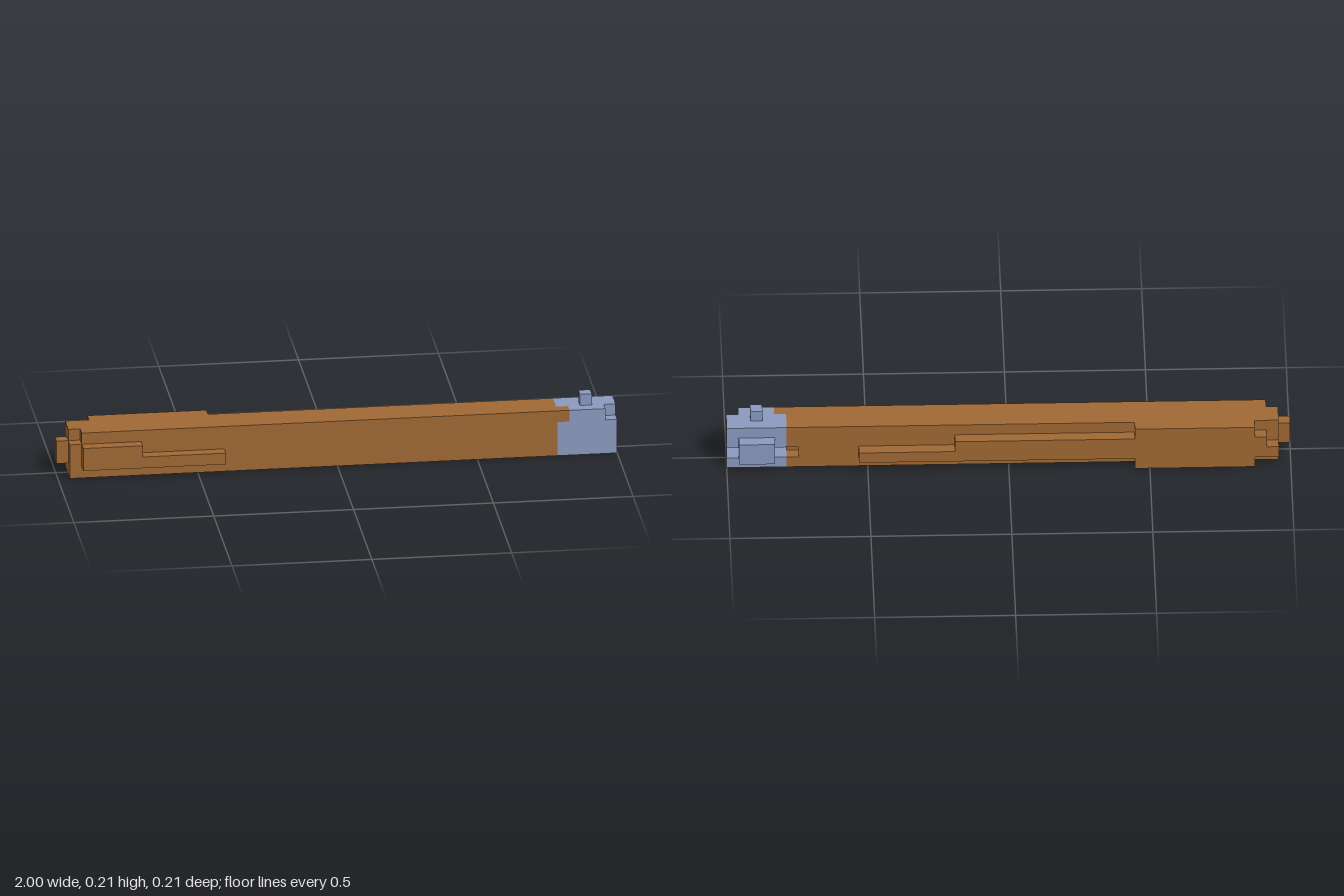
import * as THREE from 'three';

// Grid cell: the model is 47 cells long, 5 high and 5 deep
const U = 2 / 47;

export function createModel() {
  const model = new THREE.Group();
  model.name = 'blockyBar';
  const brown = new THREE.MeshStandardMaterial({ color: 0xa06834 });
  brown.name = 'woodBrown';
  const blue = new THREE.MeshStandardMaterial({ color: 0x8a9abf });
  blue.name = 'metalBlue';

  // Block filling the cells from (i0, j0, k0) up to (i1, j1, k1)
  function block(parent, name, mat, i0, i1, j0, j1, k0, k1) {
    const geo = new THREE.BoxGeometry((i1 - i0) * U, (j1 - j0) * U, (k1 - k0) * U);
    const mesh = new THREE.Mesh(geo, mat);
    mesh.name = name;
    mesh.position.set(-1 + (i0 + i1) / 2 * U, (j0 + j1) / 2 * U, ((k0 + k1) / 2 - 2.5) * U);
    parent.add(mesh);
  }

  function part(name, mat, blocks) {
    const group = new THREE.Group();
    group.name = name;
    for (const [label, ...cells] of blocks) block(group, label, mat, ...cells);
    model.add(group);
  }

  // Long shaft, with a small side hole where it meets the head
  part('shaft', brown, [
    ['shaftBody', 2, 41, 0, 4, 1, 4],
    ['holeFloor', 41, 42, 0, 1, 1, 4],
    ['holeInnerWall', 41, 42, 1, 4, 2, 4],
    ['holeRoof', 41, 42, 2, 4, 1, 2],
    ['shaftCorner', 42, 43, 3, 4, 3, 4],
  ]);

  // Notched butt end with a stub
  part('butt', brown, [
    ['buttBase', 1, 2, 0, 3, 1, 4],
    ['buttTop', 1, 2, 3, 4, 1, 3],
    ['buttStub', 0, 1, 1, 3, 2, 3],
  ]);

  // Stepped ridge along the back
  part('backRidge', brown, [
    ['ridgeBlock', 3, 13, 0, 4, 0, 1],
    ['ridgeWide', 13, 28, 1, 3, 0, 1],
    ['ridgeNarrow', 28, 36, 1, 2, 0, 1],
    ['ridgeStep', 2, 3, 1, 3, 0, 1],
    ['ridgeTip', 1, 2, 1, 2, 0, 1],
  ]);

  // Stepped ridge along the front
  part('frontRidge', brown, [
    ['ridgeWide', 2, 7, 1, 3, 4, 5],
    ['ridgeNarrow', 7, 14, 1, 2, 4, 5],
  ]);

  // Hollow head, open at its end and along the back
  part('head', blue, [
    ['headFloor', 42, 47, 0, 1, 1, 4],
    ['frontWall', 42, 47, 1, 3, 3, 4],
    ['backWall', 42, 47, 2, 3, 1, 2],
    ['roofInner', 42, 43, 3, 4, 1, 3],
    ['roofMiddle', 43, 46, 3, 4, 1, 4],
    ['roofOuter', 46, 47, 3, 4, 1, 3],
    ['backPlate', 43, 46, 1, 3, 0, 1],
    ['topPeg', 44, 45, 4, 5, 2, 3],
  ]);

  return model;
}
